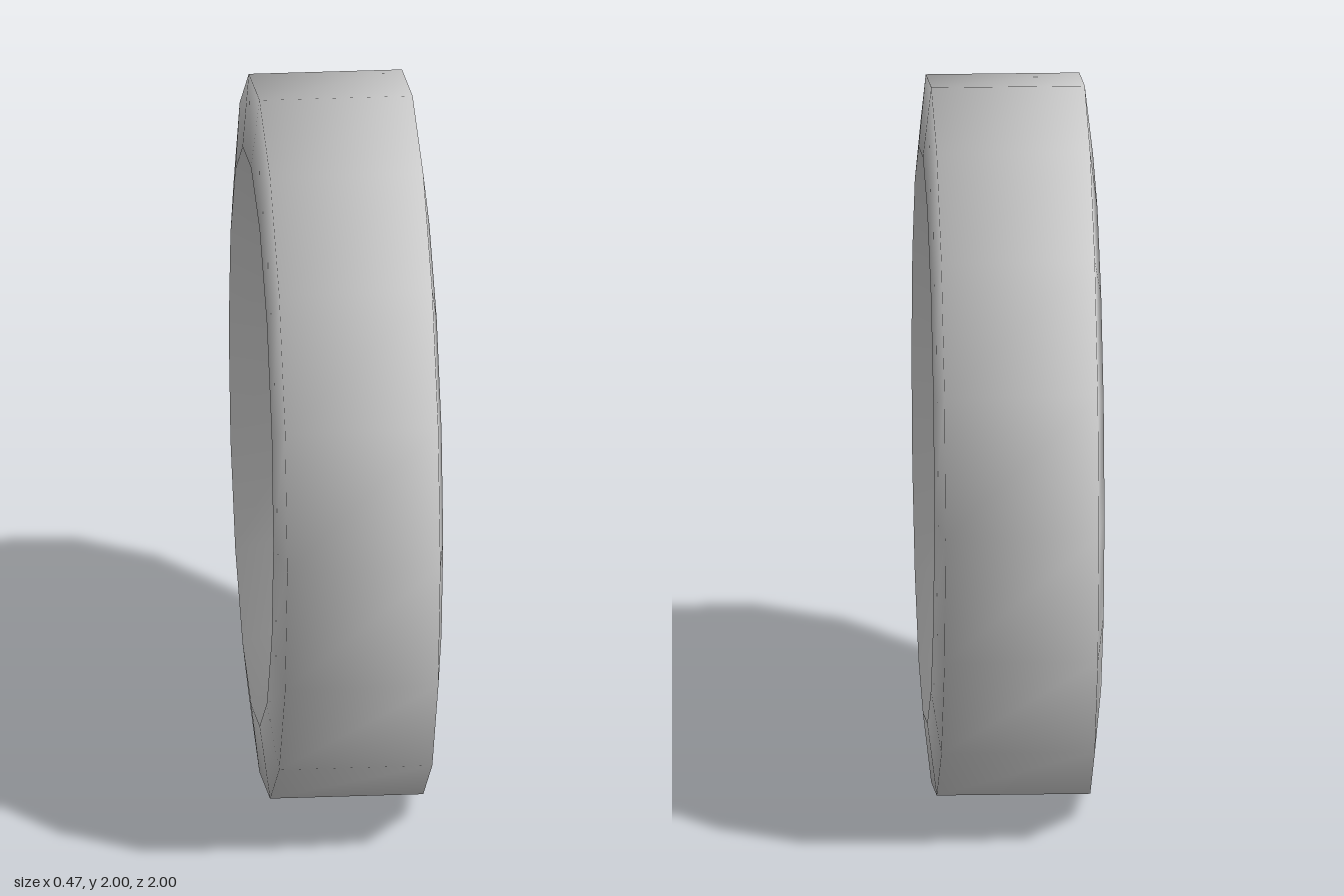
import * as THREE from 'three';

const SIDES = 16;

// Lathe whose normals weigh neighbouring profile segments equally, for a soft rounded look
function softLathe(profile) {
  const geometry = new THREE.LatheGeometry(profile, SIDES);
  const segments = profile.slice(1).map((p, j) => {
    const d = p.clone().sub(profile[j]).normalize();
    return new THREE.Vector2(d.y, -d.x);
  });
  const normals = profile.map((_, j) => {
    const a = segments[Math.max(j - 1, 0)];
    const b = segments[Math.min(j, segments.length - 1)];
    return a.clone().add(b).normalize();
  });
  for (let i = 0; i <= SIDES; i++) {
    const angle = (i / SIDES) * Math.PI * 2;
    normals.forEach((n, j) => geometry.attributes.normal.setXYZ(
      i * normals.length + j, n.x * Math.sin(angle), n.y, n.x * Math.cos(angle)));
  }
  return geometry;
}

export function createModel() {
  const group = new THREE.Group();
  group.name = 'dishedWheel';

  // Half profile (radius, distance along the axle): dish floor, sloping wall, rim crest, tread edge
  const half = [[0, 0.08], [0.72, 0.08], [0.8, 0.235], [1, 0.212]];
  const profile = [
    ...half.map(([r, d]) => new THREE.Vector2(r, -d)),
    ...half.slice().reverse().map(([r, d]) => new THREE.Vector2(r, d)),
  ];

  // Sixteen-sided smooth disc, dished on both faces, with its axle along x
  const geometry = softLathe(profile);
  geometry.rotateZ(-Math.PI / 2);
  geometry.translate(0, 1, 0);

  const disc = new THREE.Mesh(geometry, new THREE.MeshStandardMaterial({ color: 0xcccccc }));
  disc.name = 'dishedDisc';
  group.add(disc);
  return group;
}
